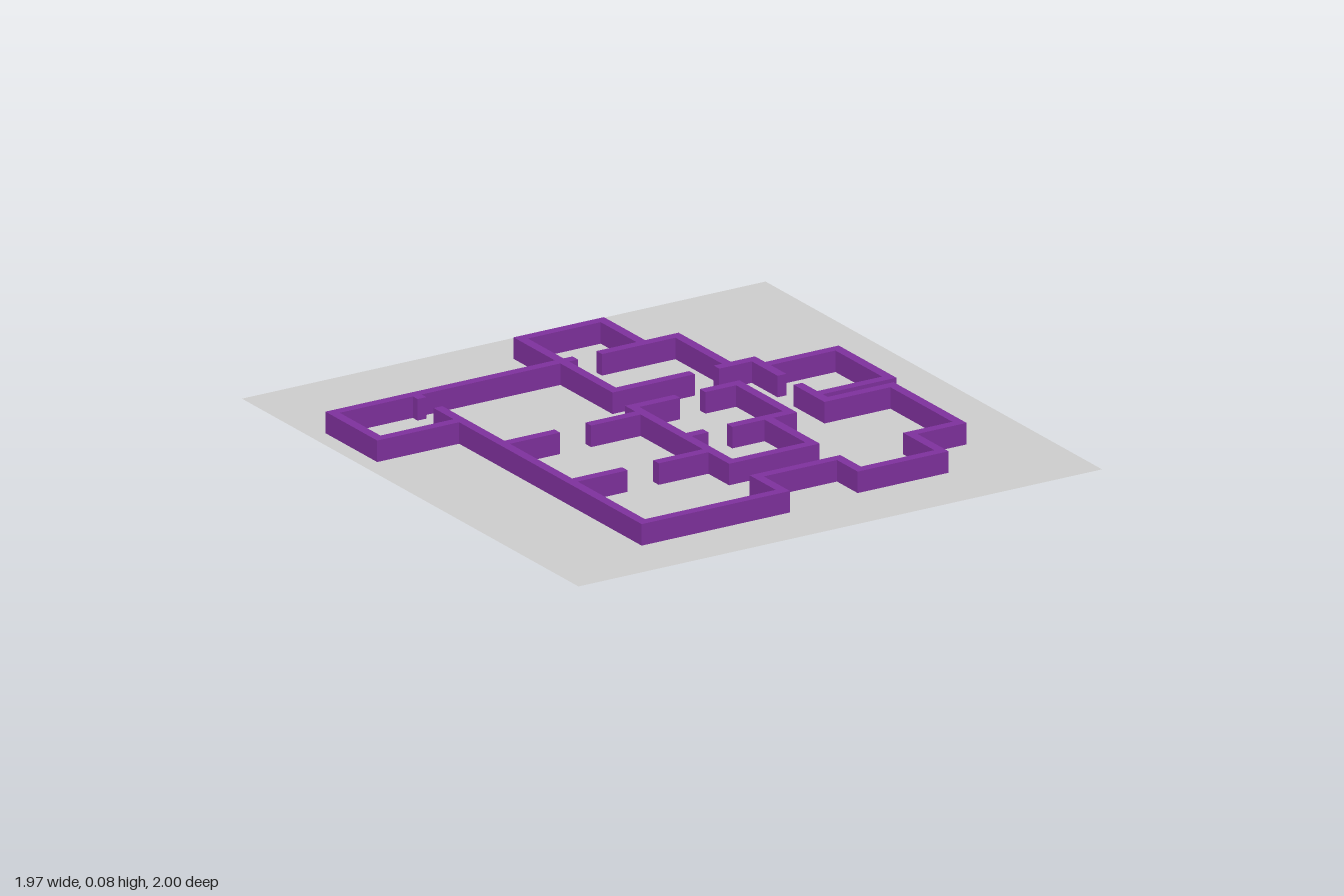
import * as THREE from 'three';

const WALL = 0.033;   // wall thickness
const TOP = 0.075;    // wall height
const LIFT = 0.002;   // keeps wall undersides clear of the ground sheet

// Extrudes a mitred wall along a centreline of [x, z] points.
function wallGeometry(points) {
  const p = points.map(([x, z]) => new THREE.Vector2(x, z));
  const left = [], right = [];
  p.forEach((c, i) => {
    const before = p[i - 1] ? c.clone().sub(p[i - 1]).normalize() : null;
    const after = p[i + 1] ? p[i + 1].clone().sub(c).normalize() : null;
    const a = before || after, b = after || before;
    const normal = new THREE.Vector2(-a.y - b.y, a.x + b.x);
    const offset = normal.multiplyScalar(WALL / 2 / (1 + a.dot(b)));
    left.push(c.clone().add(offset));
    right.unshift(c.clone().sub(offset));
  });
  const geometry = new THREE.ExtrudeGeometry(new THREE.Shape([...left, ...right]), {
    depth: TOP - LIFT, bevelEnabled: false,
  });
  return geometry.rotateX(Math.PI / 2).translate(0, TOP, 0);
}

export function createModel() {
  const model = new THREE.Group();
  model.name = 'floorPlan';

  // Ground sheet
  const ground = new THREE.Mesh(
    new THREE.PlaneGeometry(1.97, 2).rotateX(-Math.PI / 2),
    new THREE.MeshStandardMaterial({ color: 0xcccccc, side: THREE.DoubleSide }),
  );
  ground.name = 'ground';
  model.add(ground);

  // Wall centrelines, with gaps left for the doorways
  const walls = {
    westRoomWall: [[0, -0.575], [-0.913, -0.575], [-0.913, -0.3], [-0.605, -0.3]],
    westDoorStub: [[-0.605, -0.575], [-0.605, -0.53]],
    outerWall: [[-0.605, -0.435], [-0.605, 0.785], [-0.08, 0.785], [-0.08, 0.63],
      [0.228, 0.63], [0.228, 0.753], [0.537, 0.753], [0.537, 0.568],
      [0.722, 0.568], [0.722, 0.167], [0.474, 0.167], [0.474, 0]],
    eastDoorWall: [[0.474, -0.095], [0.474, -0.265], [0.335, -0.265]],
    eastRoomWall: [[0.474, -0.205], [0.751, -0.205], [0.751, 0.105], [0.474, 0.105]],
    northRoomWall: [[0.243, -0.265], [-0.05, -0.265], [-0.05, -0.82], [0.257, -0.82], [0.257, -0.575]],
    northInnerWall: [[0.09, -0.575], [0.383, -0.575], [0.383, -0.265]],
    centreRoomWall: [[0.09, -0.11], [-0.08, -0.11], [-0.08, 0.475], [0.228, 0.475], [0.228, 0.2]],
    centreEastWall: [[0.185, -0.11], [0.317, -0.11], [0.317, 0.2], [0.09, 0.2]],
    centreDoorStub: [[-0.08, 0.2], [0, 0.2]],
  };

  // Two matching partitions across the western rooms
  [-0.05, 0.352].forEach((z, i) => {
    walls[`partitionWest${i + 1}`] = [[-0.605, z], [-0.4, z]];
    walls[`partitionEast${i + 1}`] = [[-0.283, z], [-0.08, z]];
  });

  const wallMaterial = new THREE.MeshStandardMaterial({ color: 0x7d309b });
  for (const [name, points] of Object.entries(walls)) {
    const wall = new THREE.Mesh(wallGeometry(points), wallMaterial);
    wall.name = name;
    model.add(wall);
  }
  return model;
}
